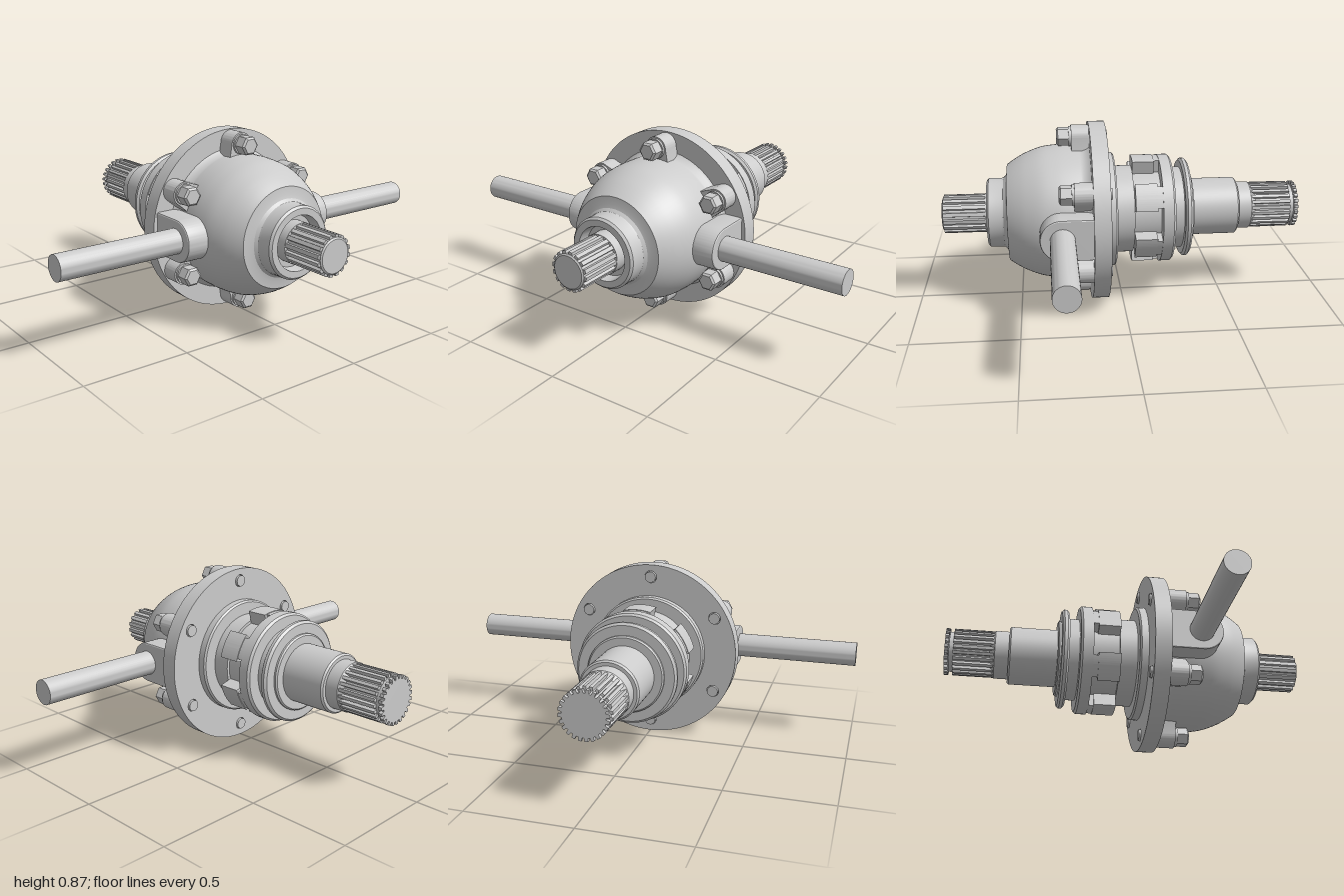
import * as THREE from 'three';
import { toCreasedNormals } from 'three/addons/utils/BufferGeometryUtils.js';

const material = new THREE.MeshStandardMaterial({ color: 0xcccccc });
const AXIS_Y = 0.435;

export function createModel() {
  const model = new THREE.Group();
  model.name = 'differential';
  // everything is built around the x axis, then lifted
  const body = new THREE.Group();
  body.name = 'driveAssembly';
  body.position.y = AXIS_Y;
  model.add(body);

  const add = (name, geometry, parent = body) => {
    const mesh = new THREE.Mesh(toCreasedNormals(geometry, 0.5), material);
    mesh.name = name;
    parent.add(mesh);
    return mesh;
  };
  // turned part: profile of [x, radius] pairs
  const turned = (profile, segments = 72) =>
    new THREE.LatheGeometry(profile.map(([x, r]) => new THREE.Vector2(r, x)), segments).rotateZ(-Math.PI / 2);
  // shape in the y/z plane pushed along x from x0 to x1
  const extrudeX = (shape, x0, x1) =>
    new THREE.ExtrudeGeometry(shape, { depth: x1 - x0, bevelEnabled: false, curveSegments: 24 })
      .rotateY(Math.PI / 2).translate(x0, 0, 0);
  // cylinder along x
  const rodX = (r, x0, x1, sides = 24) =>
    new THREE.CylinderGeometry(r, r, x1 - x0, sides).rotateZ(-Math.PI / 2).translate((x0 + x1) / 2, 0, 0);

  const splineShape = (teeth, outer, inner) => {
    const points = [];
    for (let i = 0; i < teeth; i++) {
      [[0, inner], [0.32, inner], [0.42, outer], [0.9, outer]].forEach(([f, r]) => {
        const a = ((i + f) / teeth) * Math.PI * 2;
        points.push(new THREE.Vector2(r * Math.cos(a), r * Math.sin(a)));
      });
    }
    return new THREE.Shape(points);
  };

  // input shaft and splines
  add('inputShaft', turned([
    [-0.85, 0], [-0.85, 0.096], [-0.66, 0.096], [-0.635, 0.116], [-0.57, 0.116],
    [-0.57, 0.132], [-0.562, 0.14], [-0.33, 0.14], [-0.33, 0]]));
  const inputSpline = splineShape(24, 0.113, 0.097);
  add('inputSplineTip', extrudeX(inputSpline, -0.87, -0.852));
  add('inputSpline', extrudeX(inputSpline, -0.83, -0.64));

  // seal collar, clutch ring and neck
  add('clutchHousing', turned([
    [-0.34, 0], [-0.34, 0.178], [-0.334, 0.185], [-0.325, 0.185], [-0.325, 0.232], [-0.315, 0.243],
    [-0.3, 0.243], [-0.29, 0.232], [-0.29, 0.2], [-0.24, 0.2], [-0.24, 0.255], [-0.23, 0.265],
    [-0.18, 0.265], [-0.18, 0.2], [-0.05, 0.2], [-0.05, 0.214], [0.035, 0.214],
    [0.035, 0.272], [0.043, 0.28], [0.09, 0.28], [0.09, 0]]));

  // clutch dogs around the ring, each flaring where it meets the ring
  const sector = (half, r0, r1) => {
    const s = new THREE.Shape();
    s.absarc(0, 0, r1, Math.PI / 2 - half, Math.PI / 2 + half, false);
    s.absarc(0, 0, r0, Math.PI / 2 + half, Math.PI / 2 - half, true);
    return s;
  };
  const dogs = new THREE.Group();
  dogs.name = 'clutchDogs';
  body.add(dogs);
  for (let i = 0; i < 6; i++) {
    const dog = new THREE.Group();
    dog.name = 'clutchDog';
    dog.rotation.x = (i * Math.PI) / 3;
    dogs.add(dog);
    add('dogRoot', extrudeX(sector(0.2, 0.19, 0.262), -0.185, -0.15), dog);
    add('dogTip', extrudeX(sector(0.255, 0.19, 0.265), -0.155, -0.05), dog);
  }

  // bolted flange, drilled for the bolts
  const flange = new THREE.Shape().absarc(0, 0, 0.435, 0, Math.PI * 2);
  for (let i = 0; i < 6; i++) {
    const a = Math.PI / 2 + (i * Math.PI) / 3;
    flange.holes.push(new THREE.Path().absarc(0.375 * Math.cos(a), 0.375 * Math.sin(a), 0.03, 0, Math.PI * 2, true));
  }
  add('flange', new THREE.ExtrudeGeometry(flange, { depth: 0.079, bevelEnabled: false, curveSegments: 72 })
    .rotateY(Math.PI / 2).translate(0.077, 0, 0));

  // domed housing with output hub
  const dome = new THREE.SplineCurve([
    [0.19, 0.325], [0.26, 0.327], [0.32, 0.325], [0.39, 0.315], [0.46, 0.289], [0.51, 0.262], [0.55, 0.235],
  ].map(([x, r]) => new THREE.Vector2(x, r))).getPoints(24).map((p) => [p.x, p.y]);
  add('domeHousing', turned([
    [0.15, 0], [0.15, 0.35], [0.165, 0.335], ...dome,
    [0.553, 0.2], [0.558, 0.182], [0.57, 0.17], [0.58, 0.168], [0.64, 0.168], [0.65, 0.158],
    [0.65, 0.128], [0.6, 0.12], [0.6, 0]]));

  // output shaft
  add('outputShaft', turned([[0.59, 0], [0.59, 0.082], [0.862, 0.082], [0.867, 0.075], [0.867, 0]], 48));
  add('outputSpline', extrudeX(splineShape(16, 0.094, 0.08), 0.655, 0.86));
  add('outputCollar', rodX(0.096, 0.59, 0.66, 48));

  // six bolts with bosses
  for (let i = 0; i < 6; i++) {
    const bolt = new THREE.Group();
    bolt.name = 'flangeBolt';
    bolt.rotation.x = (i * Math.PI) / 3;
    body.add(bolt);
    const boss = new THREE.Shape();
    boss.absarc(0, 0.375, 0.055, 0, Math.PI, false);
    boss.lineTo(-0.07, 0.29);
    boss.lineTo(0.07, 0.29);
    add('boltBoss', extrudeX(boss, 0.15, 0.24), bolt);
    add('boltWasher', rodX(0.048, 0.24, 0.252).translate(0, 0.375, 0), bolt);
    add('boltHead', turned([[0.25, 0], [0.25, 0.046], [0.302, 0.046], [0.31, 0.036], [0.31, 0]], 6)
      .translate(0, 0.375, 0), bolt);
    add('boltShank', rodX(0.027, 0.068, 0.24).translate(0, 0.375, 0), bolt);
  }

  // cross shaft and its side bosses
  add('crossShaft', new THREE.CylinderGeometry(0.058, 0.058, 2, 40).rotateX(Math.PI / 2).translate(0.298, 0, 0));
  const pad = new THREE.Shape();
  pad.moveTo(0.15, -0.092);
  pad.lineTo(0.303, -0.092);
  pad.absarc(0.303, 0, 0.092, -Math.PI / 2, Math.PI / 2, false);
  pad.lineTo(0.15, 0.092);
  for (const side of [1, -1]) {
    const geometry = new THREE.ExtrudeGeometry(pad, {
      depth: 0.13, bevelThickness: 0.01, bevelSize: 0.006, bevelSegments: 2, curveSegments: 24,
    });
    geometry.translate(0, 0, side > 0 ? 0.275 : -0.405);
    add('crossShaftBoss', geometry);
  }

  return model;
}
